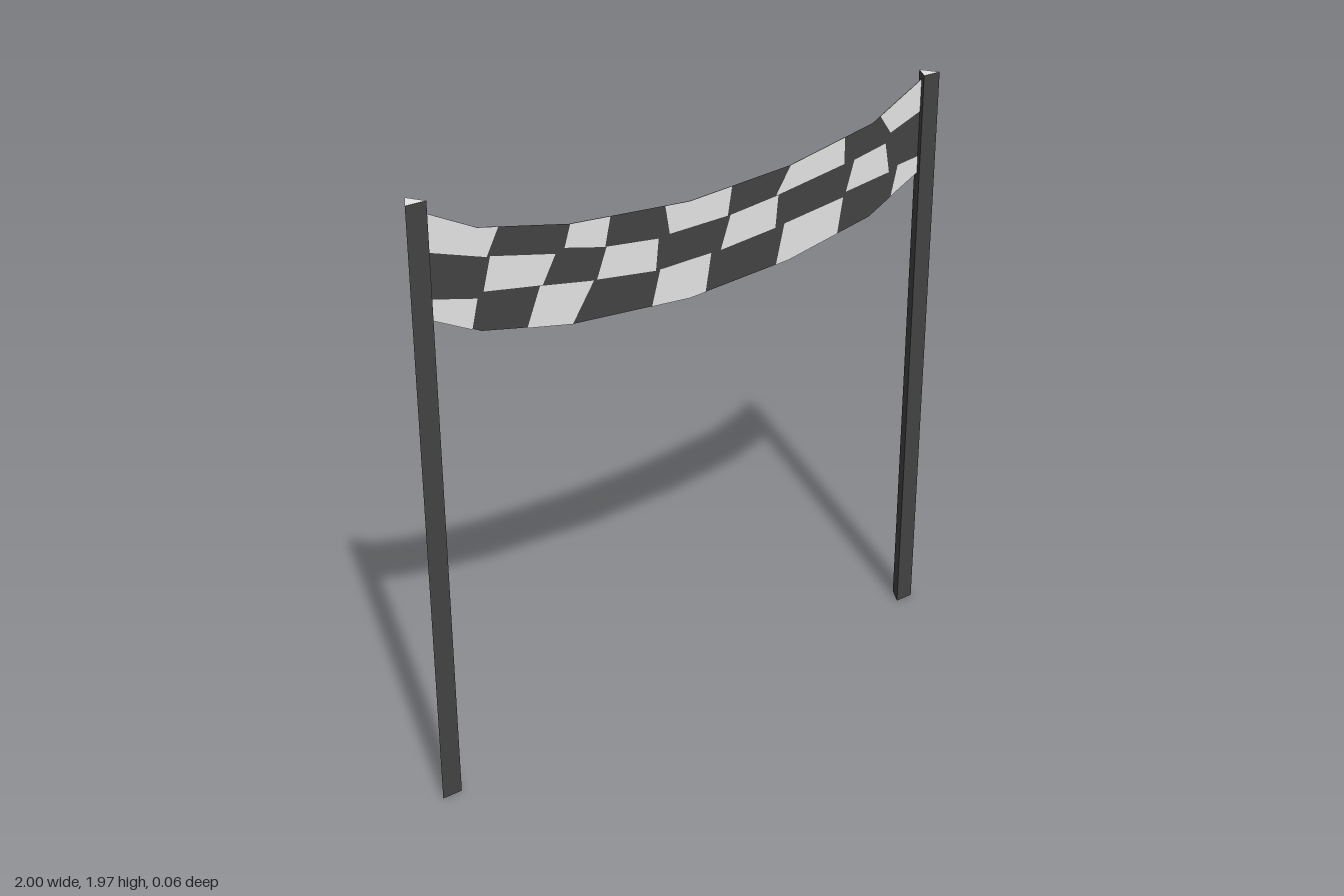
import * as THREE from 'three';

const POST_X = 0.965, POST_HEIGHT = 1.97, POST_RADIUS = 0.0393;
const BANNER_HEIGHT = 0.318, PATCH_OFFSET = 0.002;

// sagging upper edge of the banner
const topEdge = [
  [-0.965, 1.944], [-0.757, 1.842], [-0.441, 1.778], [0, 1.747],
  [0.398, 1.775], [0.741, 1.842], [0.965, 1.957],
];

// pale checks, row by row, as slanted outlines
const upperChecks = [
  [[-0.965, 1.944], [-0.757, 1.842], [-0.687, 1.828], [-0.73, 1.746], [-0.933, 1.81], [-0.965, 1.82]],
  [[-0.441, 1.778], [-0.297, 1.768], [-0.318, 1.676], [-0.463, 1.709]],
  [[-0.094, 1.753], [0, 1.747], [0.163, 1.758], [0.147, 1.666], [-0.078, 1.66]],
  [[0.398, 1.775], [0.623, 1.819], [0.623, 1.73], [0.34, 1.687]],
  [[0.773, 1.858], [0.965, 1.957], [0.965, 1.848], [0.82, 1.794]],
];
const middleChecks = [
  [[-0.719, 1.746], [-0.495, 1.698], [-0.543, 1.612], [-0.746, 1.644]],
  [[-0.313, 1.676], [-0.12, 1.655], [-0.131, 1.553], [-0.35, 1.58]],
  [[0.158, 1.666], [0.35, 1.687], [0.34, 1.58], [0.12, 1.559]],
  [[0.666, 1.735], [0.8, 1.762], [0.82, 1.66], [0.634, 1.634]],
];
const lowerChecks = [
  [[-0.965, 1.676], [-0.767, 1.628], [-0.789, 1.537], [-0.965, 1.622]],
  [[-0.553, 1.612], [-0.361, 1.58], [-0.441, 1.46], [-0.602, 1.491]],
  [[-0.115, 1.553], [0.083, 1.559], [0.061, 1.433], [0, 1.429], [-0.147, 1.439]],
  [[0.377, 1.586], [0.623, 1.618], [0.602, 1.497], [0.398, 1.457], [0.345, 1.453]],
  [[0.858, 1.676], [0.965, 1.69], [0.965, 1.639], [0.832, 1.573]],
];

function plate(points) {
  return new THREE.ShapeGeometry(new THREE.Shape(points.map(([x, y]) => new THREE.Vector2(x, y))));
}

export function createModel() {
  const dark = new THREE.MeshStandardMaterial({ color: 0x444444, flatShading: true, side: THREE.DoubleSide });
  dark.name = 'charcoal';
  const pale = new THREE.MeshStandardMaterial({ color: 0xe6e6e6, flatShading: true, side: THREE.DoubleSide });
  pale.name = 'pale grey';

  const model = new THREE.Group();
  model.name = 'finishArch';

  // three-sided posts, flat side to the front, with a pale top
  const postGeometry = new THREE.CylinderGeometry(POST_RADIUS, POST_RADIUS, POST_HEIGHT, 3);
  postGeometry.rotateY(Math.PI);
  postGeometry.translate(0, POST_HEIGHT / 2, POST_RADIUS / 4);
  for (const side of [-1, 1]) {
    const post = new THREE.Mesh(postGeometry, [dark, pale, dark]);
    post.name = side > 0 ? 'leftPost' : 'rightPost';
    post.position.x = side * POST_X;
    model.add(post);
  }

  // dark banner cloth
  const banner = new THREE.Group();
  banner.name = 'banner';
  const bottomEdge = topEdge.map(([x, y]) => [x, y - BANNER_HEIGHT]).reverse();
  const cloth = new THREE.Mesh(plate([...topEdge, ...bottomEdge]), dark);
  cloth.name = 'bannerCloth';
  banner.add(cloth);

  // pale checks on both faces of the cloth
  const rows = { upperCheck: upperChecks, middleCheck: middleChecks, lowerCheck: lowerChecks };
  for (const [name, checks] of Object.entries(rows)) {
    for (const outline of checks) {
      const geometry = plate(outline);
      for (const face of [-1, 1]) {
        const check = new THREE.Mesh(geometry, pale);
        check.name = name + (face > 0 ? 'Front' : 'Back');
        check.position.z = face * PATCH_OFFSET;
        banner.add(check);
      }
    }
  }
  model.add(banner);
  return model;
}
